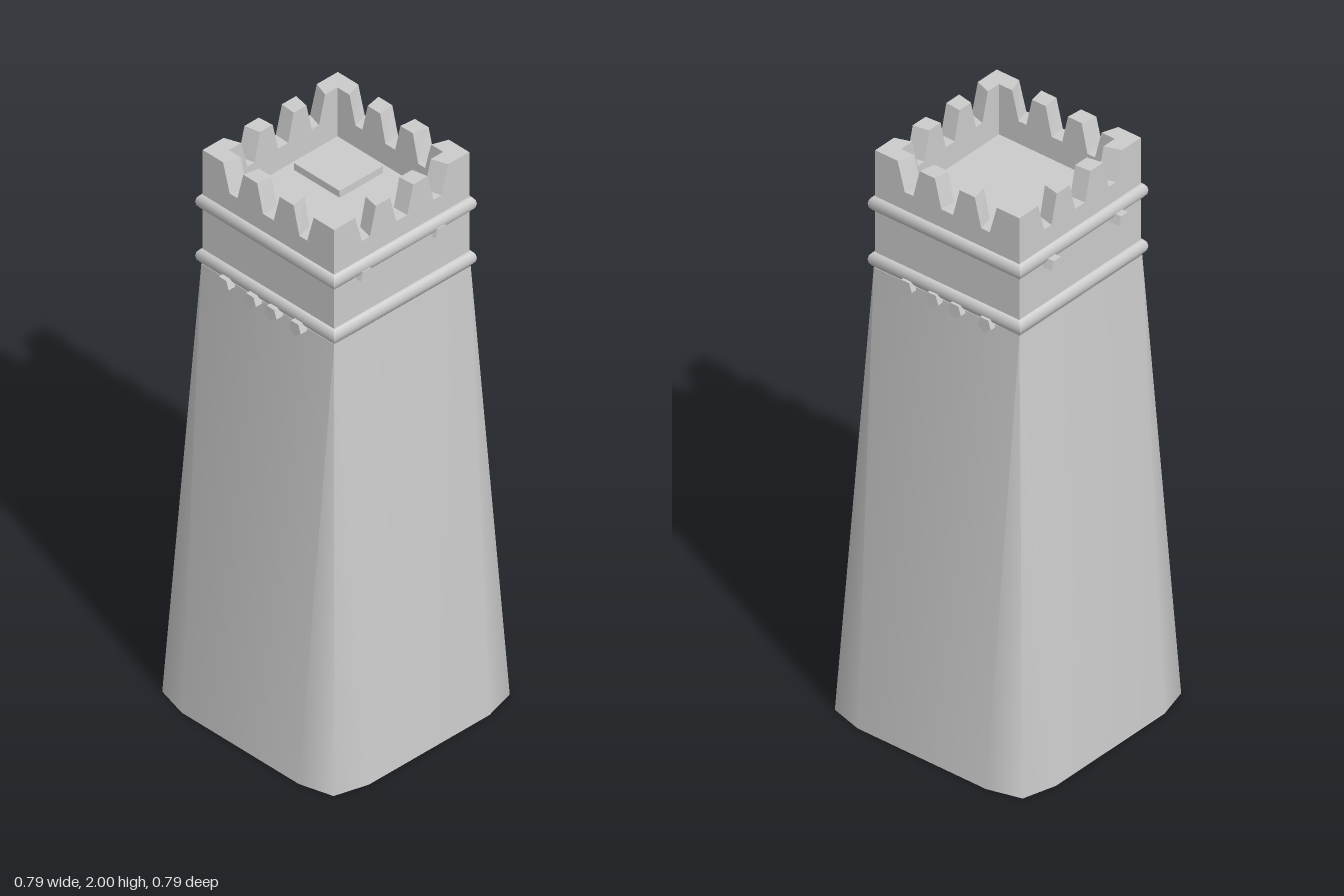
import * as THREE from 'three';
import { toCreasedNormals } from 'three/addons/utils/BufferGeometryUtils.js';

const HEAD = 0.28;     // half width of the tower head
const INNER = 0.225;   // half width inside the parapet
const HEAD_Y = 1.58;   // where the shaft meets the head
const FLOOR_Y = 1.82;

const stone = new THREE.MeshStandardMaterial({ color: 0xcccccc, side: THREE.DoubleSide });

function add(parent, geometry, name) {
  const mesh = new THREE.Mesh(geometry, stone);
  mesh.name = name;
  parent.add(mesh);
  return mesh;
}

// Tapered shaft, open below: rounded-corner foot narrowing to a sharp square
function shaftGeometry() {
  const corner = [[0.397, 0.25], [0.365, 0.365], [0.25, 0.397]];
  const foot = [], top = [];
  for (let k = 0; k < 4; k++) {
    const turn = ([x, z], y) => {
      for (let i = 0; i < k; i++) [x, z] = [-z, x];
      return new THREE.Vector3(x, y, z);
    };
    for (const p of corner) {
      foot.push(turn(p, 0));
      top.push(turn([HEAD + 0.003, HEAD + 0.003], HEAD_Y));
    }
  }
  const points = [];
  for (let i = 0; i < 12; i++) {
    const j = (i + 1) % 12;
    points.push(foot[i], top[i], foot[j]);
    if (top[i].distanceTo(top[j]) > 0.01) points.push(top[i], top[j], foot[j]);
  }
  const geometry = new THREE.BufferGeometry().setFromPoints(points);
  geometry.computeVertexNormals();
  return toCreasedNormals(geometry, 1.2);
}

// One head wall with its battlements; the notches narrow towards the inside
function wallGeometry() {
  const half = [[0.023, 1.9], [0.048, 2], [0.107, 2], [0.132, 1.9],
    [0.165, 1.9], [0.193, 2], [HEAD, 2], [HEAD, HEAD_Y]];
  const mirrored = half.map(([x, y]) => [-x, y]).reverse();
  const outline = [...mirrored, ...half].map(([x, y]) => new THREE.Vector2(x, y));
  const geometry = new THREE.ExtrudeGeometry(new THREE.Shape(outline),
    { depth: HEAD - INNER, bevelEnabled: false });
  geometry.translate(0, 0, INNER);
  const pos = geometry.attributes.position;
  for (let i = 0; i < pos.count; i++) {
    if (pos.getZ(i) > INNER + 0.01) continue;
    const x = pos.getX(i);
    pos.setX(i, Math.abs(x) > 0.25 ? Math.sign(x) * INNER : x * 0.9);
  }
  geometry.computeVertexNormals();
  return geometry;
}

// Square moulding with a half-round section
function bandGeometry() {
  const profile = [];
  for (let i = 0; i <= 6; i++) {
    const a = -Math.PI / 2 + (i / 6) * Math.PI;
    profile.push(new THREE.Vector2((HEAD - 0.002 + 0.018 * Math.cos(a)) * Math.SQRT2, 0.026 * Math.sin(a)));
  }
  const geometry = new THREE.LatheGeometry(profile, 4, Math.PI / 4);
  return toCreasedNormals(geometry, 0.9);
}

// Five-sided beam lying along z, pointing down
function beamGeometry(length) {
  const geometry = new THREE.CylinderGeometry(0.027, 0.027, length, 5).toNonIndexed();
  geometry.rotateX(Math.PI / 2);
  geometry.computeVertexNormals();
  return geometry;
}

export function createModel() {
  const tower = new THREE.Group();
  tower.name = 'tower';

  add(tower, shaftGeometry(), 'shaft');

  // Head walls
  const wall = wallGeometry();
  for (let k = 0; k < 4; k++) {
    add(tower, wall, 'battlementWall').rotation.y = k * Math.PI / 2;
  }

  // Roof floor and trapdoor
  const floor = add(tower, new THREE.PlaneGeometry(INNER * 2, INNER * 2), 'roofFloor');
  floor.rotation.x = -Math.PI / 2;
  floor.position.y = FLOOR_Y;
  add(tower, new THREE.BoxGeometry(0.195, 0.025, 0.18), 'trapdoor')
    .position.set(-0.097, FLOOR_Y + 0.0125, -0.105);

  // Mouldings round the head
  const band = bandGeometry();
  for (const y of [1.61, 1.81]) add(tower, band, 'moulding').position.y = y;

  // Beam ends: four run front to back, two run side to side
  const longBeam = beamGeometry(0.615);
  for (const x of [-0.164, -0.048, 0.04, 0.143]) {
    add(tower, longBeam, 'lowerBeam').position.set(x, HEAD_Y, 0.003);
  }
  for (const z of [-0.148, 0.162]) {
    const beam = add(tower, longBeam, 'upperBeam');
    beam.rotation.y = Math.PI / 2;
    beam.position.set(-0.009, 1.78, z);
  }
  return tower;
}
